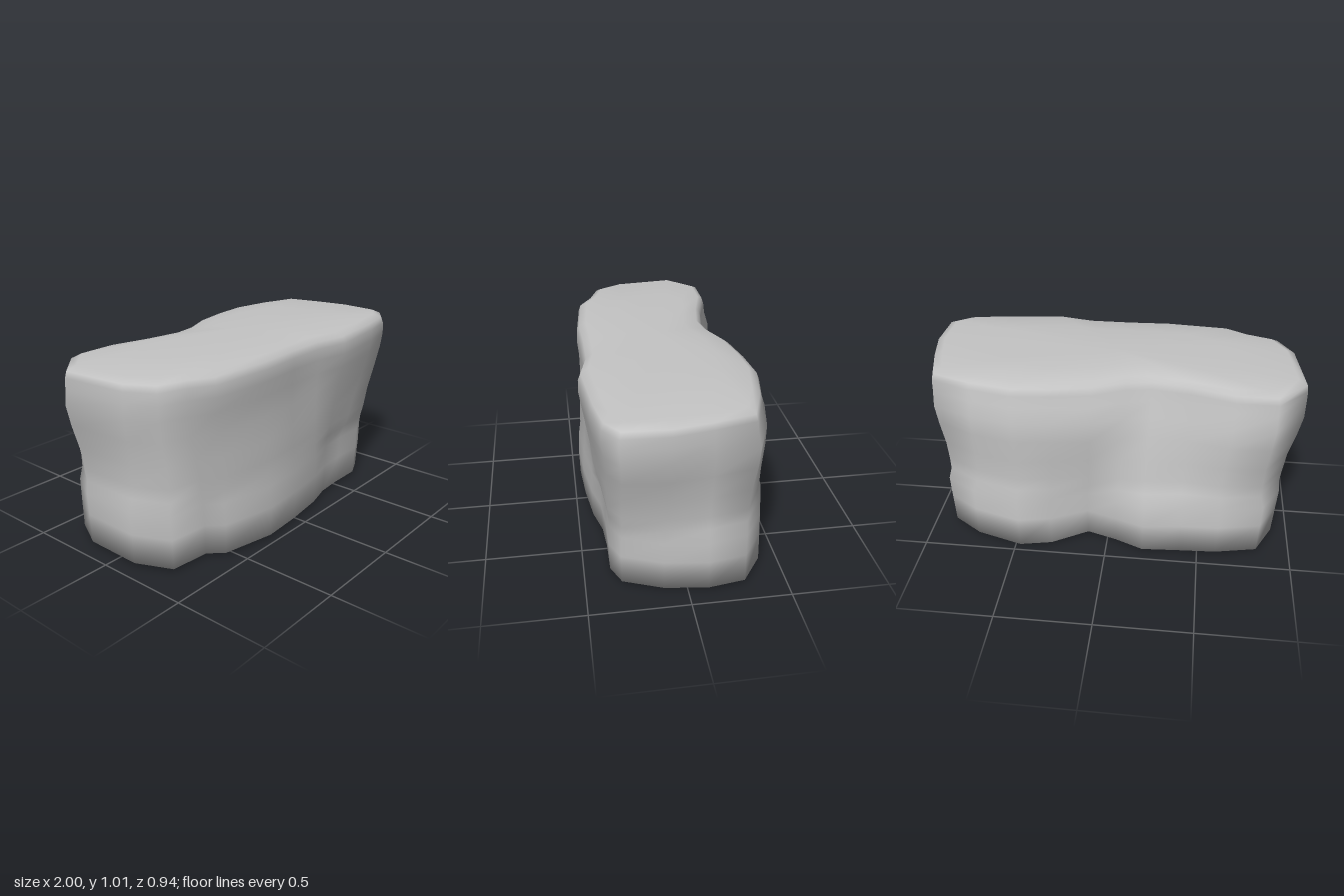
import * as THREE from 'three';

// Plan outlines [x, z], walking along the back, the left end, the front and the right end
const FOOT = [
  [-0.91, -0.2], [-0.82, -0.375], [-0.6, -0.42], [-0.4, -0.43], [-0.2, -0.44], [-0.05, -0.375],
  [0.11, -0.325], [0.3, -0.44], [0.47, -0.475], [0.72, -0.4], [0.88, -0.29], [0.91, -0.1],
  [0.88, 0.12], [0.8, 0.32], [0.69, 0.37], [0.5, 0.37], [0.35, 0.38], [0.2, 0.42],
  [-0.03, 0.45], [-0.26, 0.465], [-0.55, 0.405], [-0.62, 0.33], [-0.83, 0.31], [-0.915, 0.12],
];
const CROWN = [
  [-1, -0.22], [-0.85, -0.385], [-0.64, -0.385], [-0.42, -0.32], [-0.22, -0.28], [-0.09, -0.3],
  [0.08, -0.38], [0.28, -0.425], [0.48, -0.445], [0.7, -0.4], [0.91, -0.32], [0.96, -0.1],
  [0.995, 0.1], [0.985, 0.33], [0.89, 0.4], [0.7, 0.435], [0.36, 0.47], [0.18, 0.43],
  [-0.05, 0.43], [-0.28, 0.44], [-0.62, 0.41], [-0.74, 0.34], [-0.88, 0.29], [-0.96, 0.15],
];

// Levels: height, blend from foot to crown, width scale, front depth scale, back depth scale
const LEVELS = [
  [0.006, 0, 0.6, 0.6, 0.6], [0.018, 0, 1, 0.99, 1], [0.18, 0.02, 1.01, 1, 0.985],
  [0.3, 0.06, 1.015, 0.985, 0.975], [0.37, 0.28, 0.985, 0.975, 0.96],
  [0.44, 0.42, 0.98, 0.98, 0.96], [0.55, 0.58, 0.98, 0.975, 0.975], [0.68, 0.83, 0.99, 0.97, 1.005],
  [0.79, 0.97, 1, 0.98, 1.01], [0.87, 1, 1, 1, 0.95], [0.93, 1, 1, 0.995, 0.93],
  [0.965, 1, 0.995, 0.965, 0.9], [0.987, 1, 0.95, 0.88, 0.82], [1.004, 1, 0.62, 0.56, 0.52],
];

// The hollow in the back is shallower at mid height
const HOLLOW_FILL = { 4: 0.03, 5: 0.05, 6: 0.04 };

function boulderGeometry() {
  const n = FOOT.length;
  const pos = [];
  const index = [];
  for (const [y, t, width, front, back] of LEVELS) {
    for (let j = 0; j < n; j++) {
      const x = THREE.MathUtils.lerp(FOOT[j][0], CROWN[j][0], t);
      const z = THREE.MathUtils.lerp(FOOT[j][1], CROWN[j][1], t);
      const fill = (HOLLOW_FILL[j] ?? 0) * Math.sin(Math.PI * Math.min(y, 1));
      pos.push(x * width, y, z * (z > 0 ? front : back) - fill);
    }
  }
  // skin between levels
  for (let i = 0; i < LEVELS.length - 1; i++) {
    for (let j = 0; j < n; j++) {
      const a = i * n + j;
      const b = i * n + ((j + 1) % n);
      index.push(a, a + n, b, b, a + n, b + n);
    }
  }
  // closing fans underneath and on top
  const bottom = pos.length / 3;
  pos.push(0, 0, 0, 0, 1.012, 0);
  const last = (LEVELS.length - 1) * n;
  for (let j = 0; j < n; j++) {
    const k = (j + 1) % n;
    index.push(bottom, j, k, bottom + 1, last + k, last + j);
  }
  const geometry = new THREE.BufferGeometry();
  geometry.setAttribute('position', new THREE.Float32BufferAttribute(pos, 3));
  geometry.setIndex(index);
  geometry.computeVertexNormals();
  return geometry;
}

export function createModel() {
  const stone = new THREE.MeshStandardMaterial({ color: 0xc4c4c4 });
  stone.name = 'stone grey';
  const boulder = new THREE.Mesh(boulderGeometry(), stone);
  boulder.name = 'boulder';
  const group = new THREE.Group();
  group.name = 'rock';
  group.add(boulder);
  return group;
}
